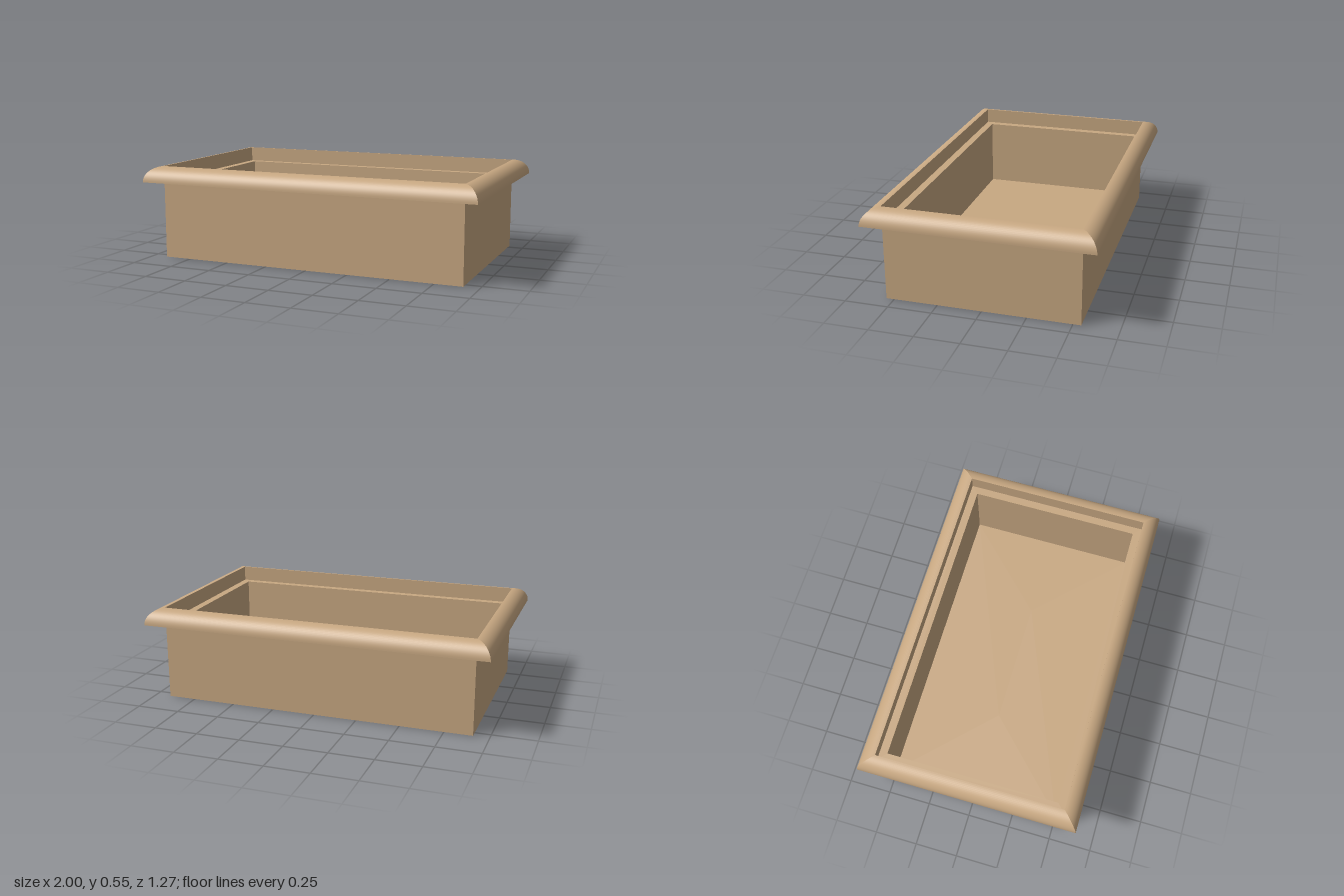
import * as THREE from 'three';
import { mergeGeometries, toCreasedNormals } from 'three/addons/utils/BufferGeometryUtils.js';

const HALF_W = 0.91, HALF_D = 0.545; // outer half size of the tray
const WALL = 0.045, HEIGHT = 0.455, RIM = 0.09;
const CORNERS = [[-1, 1], [1, 1], [1, -1], [-1, -1]];

// Sweeps a profile of [offset from tray side, y] round the rectangle with mitred corners.
// Each side is creased on its own so the mitres stay sharp.
function mitredSweep(profile) {
  const at = ([o, y], [sx, sz]) => [sx * (HALF_W + o), y, sz * (HALF_D + o)];
  const sides = CORNERS.map((c, i) => {
    const d = CORNERS[(i + 1) % 4];
    const positions = [];
    for (let k = 0; k < profile.length - 1; k++) {
      const a = at(profile[k], c), b = at(profile[k], d);
      const e = at(profile[k + 1], d), f = at(profile[k + 1], c);
      positions.push(...a, ...b, ...e, ...a, ...e, ...f);
    }
    const side = new THREE.BufferGeometry();
    side.setAttribute('position', new THREE.Float32BufferAttribute(positions, 3));
    return toCreasedNormals(side, Math.PI / 6);
  });
  return mergeGeometries(sides);
}

export function createModel() {
  const model = new THREE.Group();
  model.name = 'tray';
  const wood = new THREE.MeshStandardMaterial({ color: 0xc8a882 });
  const add = (name, profile) => {
    const mesh = new THREE.Mesh(mitredSweep(profile), wood);
    mesh.name = name;
    model.add(mesh);
  };

  // Open box: underside, outer wall, top ledge, inner wall, floor
  add('box', [
    [-HALF_D, 0], [0, 0], [0, HEIGHT],
    [-WALL, HEIGHT], [-WALL, WALL], [-HALF_D, WALL],
  ]);

  // Quarter-round rim standing outside the ledge
  const rim = [[0, HEIGHT]];
  const steps = 16;
  for (let i = 0; i <= steps; i++) {
    const t = (i / steps) * Math.PI / 2;
    rim.push([RIM * Math.cos(t), HEIGHT + RIM * Math.sin(t)]);
  }
  rim.push([0, HEIGHT]);
  add('rim', rim);

  return model;
}
